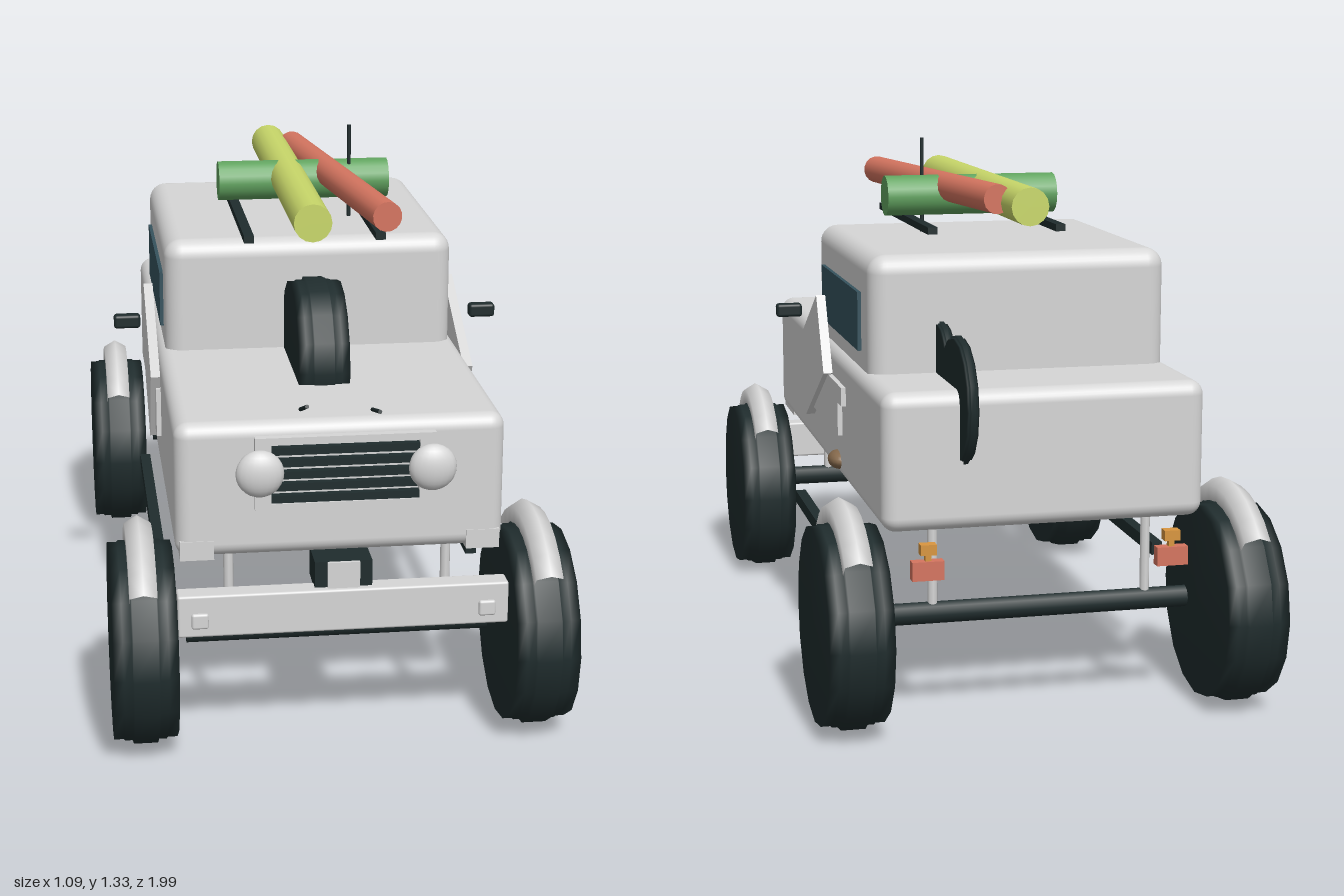
import * as THREE from 'three';
import { RoundedBoxGeometry } from 'three/addons/geometries/RoundedBoxGeometry.js';

const mat = (name, color) => {
  const m = new THREE.MeshStandardMaterial({ color });
  m.name = name;
  return m;
};

export function createModel() {
  const white = mat('body white', 0xd6d6d6);
  const dark = mat('dark rubber', 0x1f2c2d);
  const glass = mat('window teal', 0x36535e);
  const green = mat('green', 0x62a460);
  const yellow = mat('yellow', 0xc9d86a);
  const red = mat('red', 0xd57560);
  const amber = mat('amber', 0xd9963f);
  const brown = mat('brown', 0x85694c);
  const model = new THREE.Group();
  model.name = 'offRoadTruck';

  const add = (name, geo, material, x = 0, y = 0, z = 0) => {
    const mesh = new THREE.Mesh(geo, material);
    mesh.name = name;
    mesh.position.set(x, y, z);
    model.add(mesh);
    return mesh;
  };
  // Box given by its x, y and z ranges, rounded when a radius is passed
  const box = (name, m, [x0, x1], [y0, y1], [z0, z1], r = 0) => {
    const s = [x1 - x0, y1 - y0, z1 - z0];
    const geo = r ? new RoundedBoxGeometry(...s, 4, r) : new THREE.BoxGeometry(...s);
    return add(name, geo, m, (x0 + x1) / 2, (y0 + y1) / 2, (z0 + z1) / 2);
  };
  // Cylinder between two points
  const rod = (name, m, a, b, r, sides = 8) => {
    const A = new THREE.Vector3(...a), B = new THREE.Vector3(...b);
    const d = B.clone().sub(A);
    const mesh = add(name, new THREE.CylinderGeometry(r, r, d.length(), sides), m);
    mesh.position.copy(A).add(B).multiplyScalar(0.5);
    mesh.quaternion.setFromUnitVectors(new THREE.Vector3(0, 1, 0), d.normalize());
    return mesh;
  };
  // Ribbed tyre on the x axis
  const tyre = (name, r, w, x, y, z) => {
    const h = w / 2, s = r * 0.95;
    const profile = [[0, -h], [s, -h], [s, -h * 0.7], [r * 0.965, -h * 0.66], [r * 0.965, -h * 0.42],
      [r, -h * 0.38], [r, h * 0.38], [r * 0.965, h * 0.42], [r * 0.965, h * 0.66], [s, h * 0.7], [s, h], [0, h]];
    const geo = new THREE.LatheGeometry(profile.map(p => new THREE.Vector2(...p)), 16);
    geo.rotateZ(Math.PI / 2);
    return add(name, geo, dark, x, y, z);
  };

  // Body and cabin
  box('body', white, [-0.39, 0.39], [0.47, 0.8], [-0.81, 0.81], 0.035);
  box('cabin', white, [-0.37, 0.37], [0.72, 1.085], [-0.555, 0.2], 0.045);
  box('underPlate', dark, [-0.165, 0.165], [0.44, 0.472], [-0.22, 0.375]);

  // Spare wheels on the hood and rear deck
  tyre('hoodSpare', 0.193, 0.126, -0.003, 0.828, 0.35);
  rod('hoodSpareHub', white, [0, 0.825, 0.35], [0.08, 0.825, 0.35], 0.035, 12);
  tyre('rearSpare', 0.155, 0.028, 0.195, 0.765, -0.74);
  tyre('rearSpareInner', 0.125, 0.028, 0.195, 0.8, -0.55);

  // Wheels, arched fenders and suspension
  for (const z of [-0.749, 0.749]) {
    for (const s of [-1, 1]) {
      tyre('wheel', 0.247, 0.151, s * 0.471, 0.247, z);
      const arch = new THREE.TorusGeometry(0.26, 0.037, 6, 8, Math.PI * 0.52);
      arch.rotateZ(Math.PI * 0.24);
      arch.rotateY(Math.PI / 2);
      add('fender', arch, white, s * 0.473, 0.247, z);
      rod('strut', white, [s * 0.262, 0.24, z], [s * 0.262, 0.48, z], 0.012);
    }
    rod('axle', dark, [-0.365, 0.26, z], [0.365, 0.26, z], 0.027);
  }

  // Parts mirrored on both sides
  for (const s of [-1, 1]) {
    const side = (name, m, [a, b], y, z, r) => box(name, m, s > 0 ? [a, b] : [-b, -a], y, z, r);
    side('sideWindow', glass, [0.37, 0.379], [0.84, 0.985], [-0.435, 0.1]);
    side('mirror', dark, [0.432, 0.5], [0.845, 0.88], [0.107, 0.139], 0.008);
    side('lowerPanel', white, [0.385, 0.402], [0.594, 0.72], [-0.265, 0.27]);
    side('panelTab', white, [0.385, 0.402], [0.68, 0.727], [-0.32, -0.115]);
    const flap = add('tiltedPanel', new THREE.BoxGeometry(0.024, 0.217, 0.347), white, s * 0.403, 0.743, 0.075);
    flap.rotation.x = 0.5;
    side('sideStep', dark, [0.39, 0.418], [0.272, 0.305], [-0.415, 0.37]);
    side('frontCornerLip', white, [0.3, 0.38], [0.468, 0.515], [0.64, 0.812]);
    side('roofRail', dark, [0.153, 0.178], [1.107, 1.125], [-0.32, 0.32]);
    side('bumperBolt', white, [0.32, 0.36], [0.325, 0.363], [0.87, 0.888], 0.006);
    // Rear lamps
    side('tailLamp', red, [0.257, 0.333], [0.37, 0.415], [-0.862, -0.835]);
    side('indicator', amber, [0.275, 0.313], [0.43, 0.455], [-0.862, -0.835]);
    side('lampStem', amber, [0.287, 0.301], [0.414, 0.431], [-0.855, -0.84]);
    // Headlights
    const lamp = add('headlight', new THREE.SphereGeometry(0.056, 20, 14), white, s * 0.2, 0.71, 0.9);
    lamp.scale.z = 0.55;
  }

  // Grille frame with slats
  const frame = new THREE.Shape();
  frame.moveTo(-0.21, 0.615).lineTo(0.21, 0.615).lineTo(0.21, 0.79).lineTo(-0.21, 0.79).closePath();
  const hole = new THREE.Path();
  hole.moveTo(-0.172, 0.63).lineTo(-0.172, 0.773).lineTo(0.172, 0.773).lineTo(0.172, 0.63).closePath();
  frame.holes.push(hole);
  add('grilleFrame', new THREE.ExtrudeGeometry(frame, { depth: 0.02, bevelEnabled: false }), white, 0, 0, 0.868);
  for (let i = 0; i < 5; i++) {
    const y = 0.64 + i * 0.029;
    box('grilleSlat', dark, [-0.172, 0.172], [y - 0.009, y + 0.009], [0.868, 0.886]);
  }

  // Front bumper and winch
  box('bumper', white, [-0.392, 0.392], [0.302, 0.406], [0.825, 0.88], 0.006);
  box('winch', dark, [-0.068, 0.068], [0.4, 0.47], [0.76, 0.86]);
  box('winchPlate', white, [-0.038, 0.038], [0.4, 0.47], [0.86, 0.869]);

  // Hood rods and aerial
  rod('hoodRod', dark, [-0.09, 0.815, 0.76], [-0.09, 0.862, 0.885], 0.005);
  rod('hoodRod', dark, [0.078, 0.813, 0.775], [0.078, 0.843, 0.885], 0.005);
  rod('aerial', dark, [0.136, 1.08, -0.05], [0.136, 1.33, -0.05], 0.005);

  // Rolled cargo on the roof
  rod('greenRoll', green, [-0.21, 1.183, -0.075], [0.24, 1.183, -0.075], 0.052, 16);
  rod('yellowRoll', yellow, [-0.027, 1.194, -0.545], [-0.027, 1.194, 0.49], 0.047, 16);
  rod('redRoll', red, [0.028, 1.204, -0.44], [0.155, 1.204, 0.485], 0.037, 16);

  // Fuel cap on the left side
  const cap = add('fuelCap', new THREE.SphereGeometry(1, 16, 10), brown, 0.388, 0.518, -0.197);
  cap.scale.set(0.029, 0.024, 0.048);

  return model;
}
